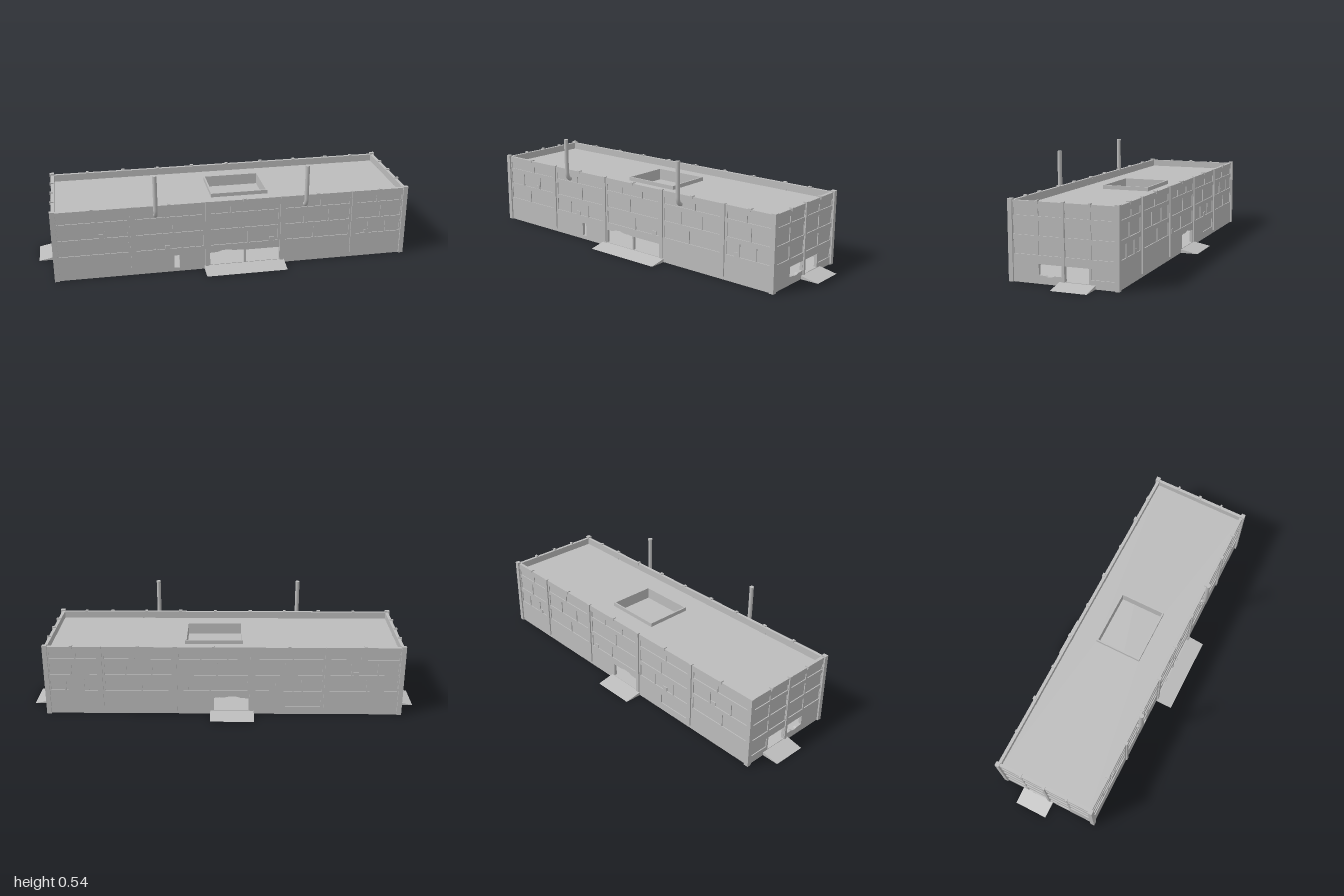
import * as THREE from 'three';

export function createModel() {
  const model = new THREE.Group();
  model.name = 'hallBuilding';
  const grey = new THREE.MeshStandardMaterial({ color: 0xbcbcbc });
  grey.name = 'concrete grey';

  const add = (geo, name, parent = model) => {
    const m = new THREE.Mesh(geo, grey);
    m.name = name;
    parent.add(m);
    return m;
  };
  // Box given by its minimum and maximum corners
  const box = (name, x0, x1, y0, y1, z0, z1, parent = model) => {
    const m = add(new THREE.BoxGeometry(x1 - x0, y1 - y0, z1 - z0), name, parent);
    m.position.set((x0 + x1) / 2, (y0 + y1) / 2, (z0 + z1) / 2);
    return m;
  };
  const rect = ([u0, u1, y0, y1]) => [[u0, y0], [u1, y0], [u1, y1], [u0, y1]];
  const toPath = (pts, Type) => new Type(pts.map(p => new THREE.Vector2(...p)));

  const T = 0.016, TOP = 0.372;

  // Wall in its own plane, with real openings and shallow window recesses
  function wall(name, u0, u1, openings, windows, inward) {
    const g = new THREE.Group();
    g.name = name;
    const shape = toPath(rect([u0, u1, 0, TOP]), THREE.Shape);
    openings.forEach(o => shape.holes.push(toPath(o, THREE.Path)));
    windows.forEach(w => shape.holes.push(toPath(rect(w), THREE.Path)));
    add(new THREE.ExtrudeGeometry(shape, { depth: T, bevelEnabled: false }), 'wallFace', g);
    const [z0, z1] = inward < 0 ? [0.001, T - 0.005] : [0.005, T - 0.001];
    windows.forEach(([a, b, c, d]) => box('windowPane', a, b, c, d, z0, z1, g));
    model.add(g);
    return g;
  }

  const rows = [[0.13, 0.195], [0.218, 0.285], [0.306, 0.34]];
  const pilasters = [-0.91, -0.525, -0.145, 0.245, 0.625, 0.905];
  const splits = [[0.45], [0.3, 0.68], [0.55]];

  // Windows of the long walls: rows of uneven panes between pilasters
  const longWindows = [];
  const notches = [];
  for (let i = 0; i < 5; i++) {
    const a = pilasters[i] + 0.016, b = pilasters[i + 1] - 0.016;
    rows.forEach(([y0, y1], r) => {
      const cuts = [0, ...splits[(r + i) % 3], 1];
      for (let k = 0; k + 1 < cuts.length; k++) {
        longWindows.push([a + (b - a) * cuts[k] + 0.004, a + (b - a) * cuts[k + 1] - 0.004, y0, y1]);
      }
    });
  }
  [[-0.69, 0.218], [-0.36, 0.13], [0.18, 0.13], [0.69, 0.13]].forEach(([x, y]) => notches.push([x, y]));

  // Long walls, with broken edges above the doorways
  const brokenDoor = [[-0.13, 0.02], [0.048, 0.02], [0.048, 0.09], [0.02, 0.094], [0, 0.092],
    [-0.04, 0.1], [-0.07, 0.097], [-0.09, 0.09], [-0.13, 0.088]];
  wall('frontWall', -0.91, 0.905,
    [brokenDoor, rect([0.057, 0.235, 0.02, 0.09]), rect([-0.315, -0.288, 0.02, 0.09])],
    longWindows, -1).position.z = 0.263 - T;
  wall('backWall', -0.91, 0.905, [brokenDoor],
    [...longWindows, [-0.5, -0.32, 0.04, 0.09]], 1).position.z = -0.263;
  for (const s of [1, -1]) {
    notches.forEach(([x, y]) => {
      const z = s * 0.2575;
      box('brokenSill', x, x + 0.028, y, y + 0.02, z - 0.005, z + 0.005);
    });
  }

  // End walls, four window columns each
  const columns = [[-0.25, -0.133], [-0.122, -0.008], [0.008, 0.124], [0.134, 0.25]];
  const endWindows = columns.flatMap(([a, b]) => rows.map(([c, d]) => [a, b, c, d]));
  endWindows.push([0.135, 0.25, 0.04, 0.09]);
  const endOpenings = [
    [[-0.122, 0.04], [-0.09, 0.038], [-0.08, 0.034], [-0.06, 0.034], [-0.045, 0.04], [-0.008, 0.04], [-0.008, 0.09], [-0.122, 0.09]],
    rect([0.008, 0.124, 0.02, 0.09])];
  for (const s of [1, -1]) {
    const w = wall(s > 0 ? 'leftEndWall' : 'rightEndWall', -0.262, 0.262, endOpenings, endWindows, -s);
    w.rotation.y = Math.PI / 2;
    w.position.x = s > 0 ? 0.907 - T : -0.912;
  }

  // Corner pillars
  for (const x of [-0.908, 0.903]) {
    for (const z of [-0.26, 0.26]) {
      box('cornerPillar', x - 0.012, x + 0.012, 0, 0.379, z - 0.011, z + 0.011);
    }
  }
  // Pilasters and parapet caps along the walls
  for (const s of [1, -1]) {
    for (const x of pilasters.slice(1, 5)) {
      box('pilaster', x - 0.009, x + 0.009, 0.018, 0.376, s * 0.262 - 0.008, s * 0.262 + 0.008);
    }
    for (const x of [-0.718, -0.335, 0.05, 0.435, 0.77]) {
      box('parapetCap', x - 0.007, x + 0.007, 0.362, 0.377, s * 0.256 - 0.01, s * 0.256 + 0.01);
    }
    const ex = s > 0 ? 0.904 : -0.909;
    box('endPilaster', ex - 0.009, ex + 0.009, 0.018, 0.378, -0.007, 0.007);
    for (const z of [-0.13, 0.127]) {
      box('endParapetCap', ex - 0.01, ex + 0.01, 0.362, 0.378, z - 0.005, z + 0.005);
    }
  }

  // Floors inside
  box('groundFloor', -0.9, 0.895, 0.001, 0.02, -0.25, 0.25);
  [0.11, 0.205, 0.295].forEach(y => box('upperFloor', -0.896, 0.891, y - 0.012, y, -0.247, 0.247));

  // Roof with a skylight opening and its raised rim
  const roof = toPath(rect([-0.9, 0.895, -0.25, 0.25]), THREE.Shape);
  roof.holes.push(toPath(rect([-0.1, 0.2, -0.12, 0.13]), THREE.Path));
  const slab = add(new THREE.ExtrudeGeometry(roof, { depth: 0.012, bevelEnabled: false }), 'roof');
  slab.rotation.x = -Math.PI / 2;
  slab.position.y = 0.323;
  for (const [x0, x1, z0, z1] of [[-0.1, 0.2, -0.13, -0.122], [-0.1, 0.2, 0.112, 0.12],
    [-0.1, -0.092, -0.122, 0.112], [0.192, 0.2, -0.122, 0.112]]) {
    box('skylightRim', x0, x1, 0.296, 0.355, z0, z1);
  }

  // Chimney pipes that bend out of the front wall
  for (const x of [-0.405, 0.365]) {
    const path = new THREE.CatmullRomCurve3([[0.258, 0.322], [0.272, 0.327], [0.281, 0.345],
      [0.283, 0.38], [0.284, 0.46], [0.284, 0.54]].map(([z, y]) => new THREE.Vector3(x, y, z)));
    add(new THREE.TubeGeometry(path, 20, 0.011, 12), 'chimneyPipe');
    const cap = add(new THREE.CylinderGeometry(0.0118, 0.0118, 0.008, 12), 'chimneyCap');
    cap.position.set(x, 0.537, 0.284);
  }

  // Door ramps: a wedge running outward, turned to each side
  function ramp(name, width, length, x, z, turn) {
    const wedge = toPath([[0, 0], [length, 0], [0, 0.018]], THREE.Shape);
    const geo = new THREE.ExtrudeGeometry(wedge, { depth: width, bevelEnabled: false });
    geo.translate(0, 0, -width / 2);
    const m = add(geo, name);
    m.rotation.y = turn;
    m.position.set(x, 0, z);
  }
  ramp('frontRamp', 0.42, 0.09, 0.05, 0.262, -Math.PI / 2);
  ramp('backRamp', 0.225, 0.092, -0.045, -0.262, Math.PI / 2);
  ramp('leftRamp', 0.175, 0.095, 0.905, -0.067, 0);
  ramp('rightRamp', 0.175, 0.09, -0.91, -0.067, Math.PI);

  return model;
}
